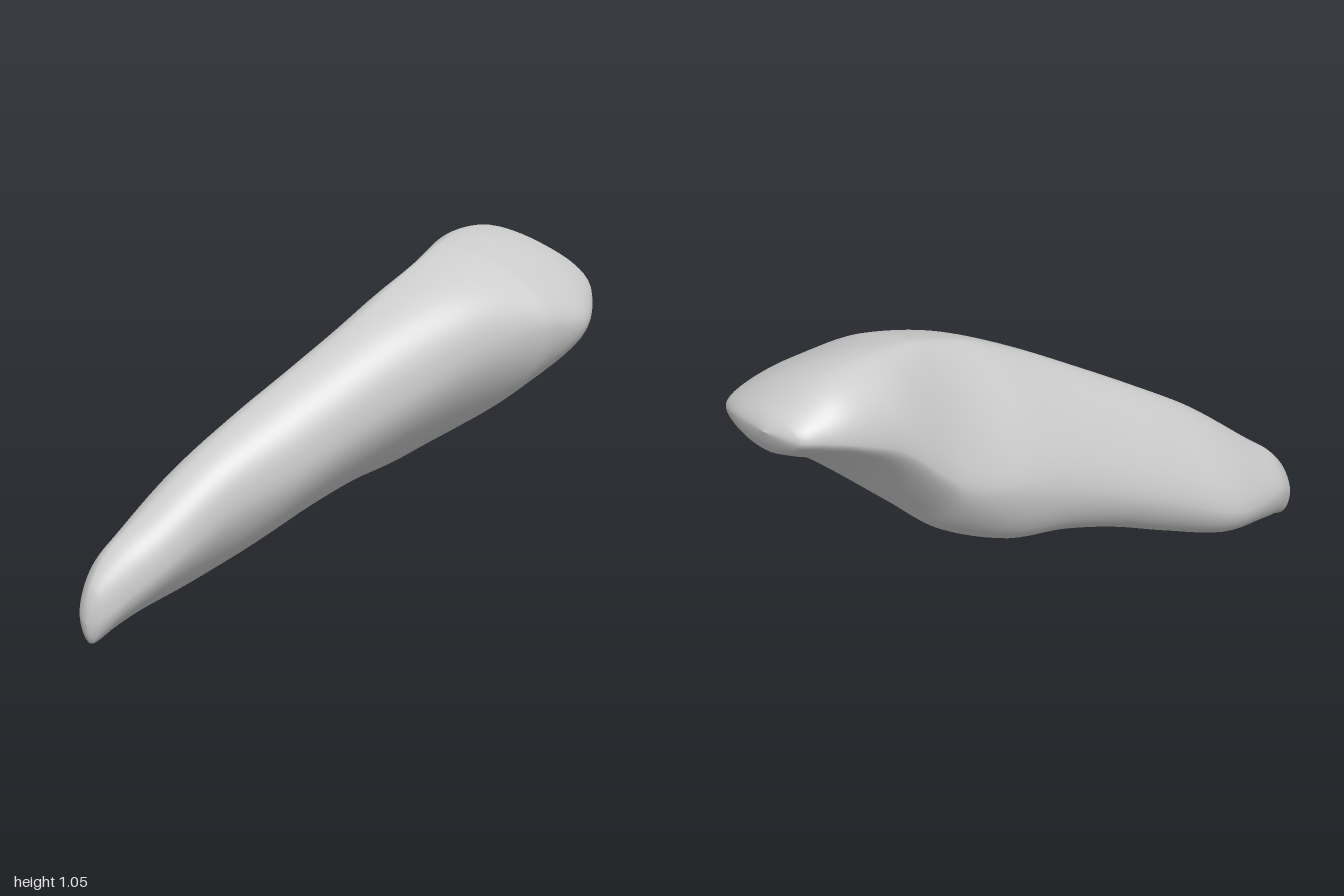
import * as THREE from 'three';

// Cross-sections from tip to head: z, then the left, top, right and bottom extremes as x, y
const SECTIONS = [
  [1.0, -0.37, 0.07, -0.37, 0.07, -0.37, 0.07, -0.37, 0.07],
  [0.98, -0.41, 0.09, -0.37, 0.17, -0.33, 0.08, -0.37, 0.0],
  [0.9, -0.45, 0.14, -0.36, 0.27, -0.27, 0.15, -0.37, 0.02],
  [0.8, -0.47, 0.16, -0.32, 0.35, -0.21, 0.22, -0.37, 0.04],
  [0.6, -0.48, 0.19, -0.24, 0.51, -0.11, 0.36, -0.34, 0.07],
  [0.4, -0.42, 0.28, -0.17, 0.635, 0.0, 0.45, -0.28, 0.135],
  [0.2, -0.36, 0.37, -0.09, 0.75, 0.1, 0.55, -0.22, 0.21],
  [0.0, -0.31, 0.45, -0.02, 0.86, 0.2, 0.64, -0.17, 0.265],
  [-0.2, -0.27, 0.52, 0.01, 0.955, 0.3, 0.73, -0.12, 0.295],
  [-0.4, -0.235, 0.59, 0.02, 1.02, 0.4, 0.78, -0.04, 0.38],
  [-0.5, -0.21, 0.66, 0.02, 1.04, 0.45, 0.79, 0.04, 0.47],
  [-0.65, -0.18, 0.8, 0.02, 1.052, 0.48, 0.78, 0.13, 0.61],
  [-0.8, -0.15, 0.87, 0.02, 1.04, 0.425, 0.82, 0.14, 0.735],
  [-0.9, -0.11, 0.9, 0.03, 1.0, 0.35, 0.86, 0.12, 0.79],
  [-0.97, -0.06, 0.91, 0.05, 0.96, 0.21, 0.9, 0.09, 0.84],
  [-1.0, 0.05, 0.92, 0.05, 0.92, 0.05, 0.92, 0.05, 0.92],
];
const LAST = SECTIONS.length - 1;

// Smooth blend between neighbouring cross-sections
function sectionAt(u) {
  const i = Math.min(Math.floor(u), LAST - 1);
  const f = u - i;
  const row = (k) => SECTIONS[Math.max(0, Math.min(LAST, k))];
  return row(i).map((p1, c) => {
    const p0 = row(i - 1)[c], p2 = row(i + 1)[c], p3 = row(i + 2)[c];
    const m1 = (p2 - p0) / 2, m2 = (p3 - p1) / 2;
    return p1 + f * (m1 + f * (3 * (p2 - p1) - 2 * m1 - m2 + f * (2 * (p1 - p2) + m1 + m2)));
  });
}

// Rounded arc from a side extreme to a top or bottom extreme; fullness 0.55 is an ellipse
function arcPoint([sx, sy], [vx, vy], fullness, t) {
  const r = 1 - t;
  const side = r * r * r + 3 * r * r * t + 3 * r * t * t * fullness;
  const vert = t * t * t + 3 * t * t * r + 3 * t * r * r * fullness;
  return [vx + (sx - vx) * side, sy + (vy - sy) * vert];
}

// Closed outline of one cross-section, anticlockwise from the right extreme
function outline(section, perArc) {
  const [z, xl, yl, xt, yt, xr, yr, xb, yb] = section;
  const left = [xl, yl], top = [xt, yt], right = [xr, yr], bottom = [xb, yb];
  const head = 1 - THREE.MathUtils.smoothstep(z, -0.65, -0.2);
  const valley = Math.exp(-(((z + 0.38) / 0.2) ** 2)); // dip beside the head
  const arcs = [
    [right, top, 0.65 - 0.28 * head, false],
    [left, top, 0.34 + 0.2 * head - 0.17 * valley, true],
    [left, bottom, 0.52 - 0.17 * head, false], // flattened underside of the head
    [right, bottom, 0.38 + 0.17 * head, true],
  ];
  const points = [];
  for (const [side, vert, fullness, reversed] of arcs) {
    for (let j = 0; j < perArc; j++) {
      const t = j / perArc;
      points.push([...arcPoint(side, vert, fullness, reversed ? 1 - t : t), z]);
    }
  }
  return points;
}

function loftGeometry(perArc, perSection) {
  const around = perArc * 4;
  const rings = LAST * perSection;
  const positions = [], index = [];
  for (let i = 0; i <= rings; i++) {
    // Pack rings closer to both ends so that they stay round
    let u = i / perSection;
    if (u < 1) u = u * u;
    else if (u > LAST - 1) u = LAST - (LAST - u) ** 2;
    positions.push(...outline(sectionAt(u), perArc).flat());
  }
  for (let i = 0; i < rings; i++) {
    for (let j = 0; j < around; j++) {
      const a = i * around + j, b = i * around + ((j + 1) % around);
      const c = a + around, d = b + around;
      index.push(a, c, b, b, c, d);
    }
  }
  const geometry = new THREE.BufferGeometry();
  geometry.setAttribute('position', new THREE.Float32BufferAttribute(positions, 3));
  geometry.setIndex(index);
  geometry.computeVertexNormals();
  return geometry;
}

export function createModel() {
  const group = new THREE.Group();
  group.name = 'organicForm';
  const grey = new THREE.MeshStandardMaterial({ color: 0xcccccc });
  grey.name = 'grey';

  // Tapering body with a broad rounded head
  const body = new THREE.Mesh(loftGeometry(18, 6), grey);
  body.name = 'body';
  group.add(body);
  return group;
}
